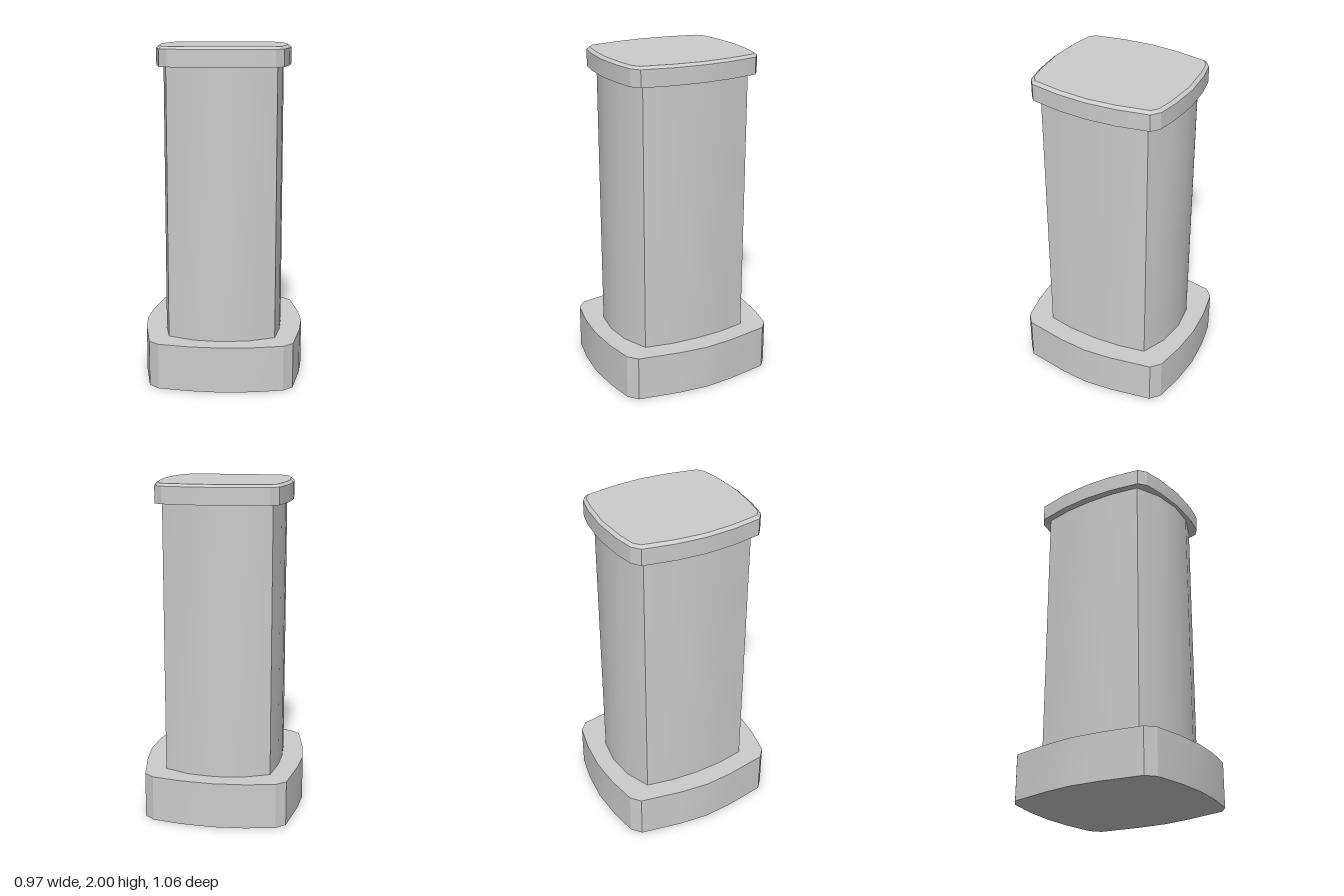
import * as THREE from 'three';
import { toCreasedNormals } from 'three/addons/utils/BufferGeometryUtils.js';

// Mirror a quarter outline (from the +x axis to the +z axis) into a full loop of [x, z]
function fullOutline(quarter) {
  const half = [...quarter, ...quarter.slice(0, -1).reverse().map(([x, z]) => [-x, z])];
  return [...half, ...half.slice(1, -1).reverse().map(([x, z]) => [x, -z])];
}

// Closed solid through horizontal sections, each { y, quarter }
function loft(sections) {
  const rings = sections.map(({ y, quarter }) => fullOutline(quarter).map(([x, z]) => [x, y, z]));
  const n = rings[0].length;
  const top = rings.length - 1;
  const pos = [];
  const tri = (...corners) => corners.forEach((p) => pos.push(...p));
  for (let i = 0; i < n; i++) {
    const j = (i + 1) % n;
    for (let k = 0; k < top; k++) {
      tri(rings[k][i], rings[k + 1][i], rings[k][j]);
      tri(rings[k + 1][i], rings[k + 1][j], rings[k][j]);
    }
    tri([0, sections[0].y, 0], rings[0][i], rings[0][j]);
    tri([0, sections[top].y, 0], rings[top][j], rings[top][i]);
  }
  const geometry = new THREE.BufferGeometry();
  geometry.setAttribute('position', new THREE.Float32BufferAttribute(pos, 3));
  return toCreasedNormals(geometry, THREE.MathUtils.degToRad(20));
}

export function createModel() {
  const group = new THREE.Group();
  const material = new THREE.MeshStandardMaterial({ color: 0xcccccc });
  const add = (name, sections) => {
    const mesh = new THREE.Mesh(loft(sections), material);
    mesh.name = name;
    group.add(mesh);
  };

  // Wide plinth with bowed sides and chamfered corners
  const base = [[0.487, 0], [0.472, 0.175], [0.426, 0.432], [0.368, 0.482], [0.19, 0.516], [0, 0.53]];
  add('base', [{ y: 0, quarter: base }, { y: 0.275, quarter: base }]);

  // Tall shaft with bowed sides and sharp corners
  const shaft = [[0.357, 0], [0.348, 0.17], [0.318, 0.335], [0.165, 0.4], [0, 0.42]];
  add('shaft', [{ y: 0.27, quarter: shaft }, { y: 1.89, quarter: shaft }]);

  // Cap slab with a bevelled top edge
  const rim = [[0.402, 0], [0.39, 0.175], [0.355, 0.363], [0.306, 0.402], [0.187, 0.426], [0, 0.44]];
  const lid = [[0.383, 0], [0.37, 0.172], [0.336, 0.354], [0.296, 0.386], [0.187, 0.406], [0, 0.421]];
  add('cap', [{ y: 1.885, quarter: rim }, { y: 1.985, quarter: rim }, { y: 2, quarter: lid }]);

  return group;
}
